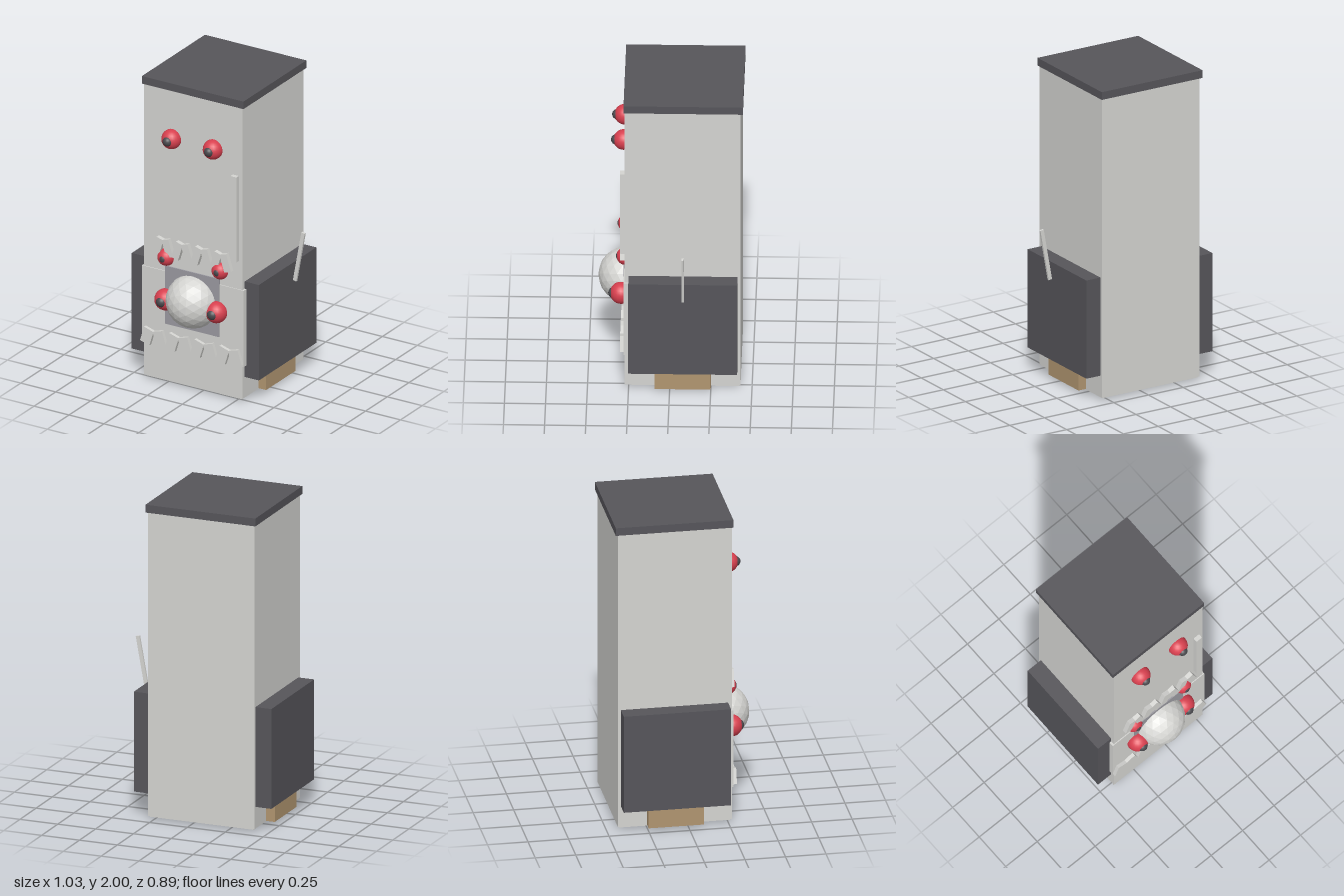
import * as THREE from 'three';

const mat = (name, color, flat = false) => {
  const m = new THREE.MeshStandardMaterial({ color });
  m.name = name;
  m.flatShading = flat;
  return m;
};

export function createModel() {
  const model = new THREE.Group();
  model.name = 'cabinetCreature';

  const white = mat('offWhite', 0xd4d4d1, true);
  const dark = mat('darkGrey', 0x56555a);
  const tan = mat('tan', 0xb09570);
  const red = mat('red', 0xd8404f);
  const glass = mat('windowGrey', 0x9a99a0);
  const black = mat('pupilGrey', 0x49494d);

  // Box given by its minimum and maximum corners
  const box = (name, m, [x0, y0, z0], [x1, y1, z1], parent = model) => {
    const mesh = new THREE.Mesh(new THREE.BoxGeometry(x1 - x0, y1 - y0, z1 - z0), m);
    mesh.position.set((x0 + x1) / 2, (y0 + y1) / 2, (z0 + z1) / 2);
    mesh.name = name;
    parent.add(mesh);
    return mesh;
  };
  const ball = (name, m, r, x, y, z, parent) => {
    const mesh = new THREE.Mesh(new THREE.SphereGeometry(r, 20, 14), m);
    mesh.position.set(x, y, z);
    mesh.name = name;
    parent.add(mesh);
  };

  // Tall body, lid and base
  box('body', white, [-0.412, 0.018, -0.43], [0.291, 1.95, 0.275]);
  box('lid', dark, [-0.425, 1.95, -0.445], [0.301, 2, 0.281]);
  box('basePlate', white, [-0.403, 0.01, -0.42], [0.282, 0.018, 0.265]);
  box('basePlug', tan, [-0.108, 0, -0.113], [-0.014, 0.012, -0.04]);

  // Side boxes with wooden feet below
  for (const [side, inner, outer, foot] of [['left', 0.285, 0.392, 0.345], ['right', -0.406, -0.517, -0.47]]) {
    const span = (v) => [Math.min(inner, v), Math.max(inner, v)];
    const [a, b] = span(outer), [c, d] = span(foot);
    box(side + 'SideBox', dark, [a, 0.155, -0.412], [b, 0.79, 0.25]);
    box(side + 'Foot', tan, [c, 0.02, -0.25], [d, 0.155, 0.09]);
  }

  // Lower door with its window
  box('door', white, [-0.425, 0.235, 0.25], [0.303, 0.742, 0.281]);
  box('window', glass, [-0.255, 0.395, 0.278], [0.13, 0.78, 0.286]);

  // Upper door handle and slanted side lever
  box('handle', white, [0.222, 0.93, 0.27], [0.265, 1.495, 0.303]);
  box('lever', white, [0.463, 0.705, -0.09], [0.487, 1.041, -0.076]).rotation.z = -0.18;

  // Rows of alternately tilted teeth
  const teeth = (name, x0, step, y, w, h, z0, z1) => {
    const row = new THREE.Group();
    row.name = name;
    for (let i = 0; i < 8; i++) {
      const x = x0 + i * step;
      const t = box('tooth', white, [x - w / 2, y - h / 2, z0], [x + w / 2, y + h / 2, z1], row);
      t.rotation.z = i % 2 ? 0.3 : -0.3;
    }
    model.add(row);
  };
  teeth('upperTeeth', -0.299, 0.069, 0.905, 0.05, 0.115, 0.27, 0.303);
  teeth('lowerTeeth', -0.377, 0.09, 0.29, 0.07, 0.1, 0.27, 0.303);

  // Pairs of eyes: red ball with a dark pupil in front
  const eye = (name, x, y, z, r, pr, pz) => {
    const g = new THREE.Group();
    g.name = name;
    ball('eyeball', red, r, x, y, z, g);
    ball('pupil', black, pr, x, y, pz, g);
    model.add(g);
  };
  for (const [name, xr, xl, y, z, r, pr, pz] of [
    ['top', -0.21, 0.086, 1.634, 0.285, 0.063, 0.031, 0.331],
    ['middle', -0.255, 0.132, 0.835, 0.273, 0.055, 0.031, 0.3],
    ['bottom', -0.245, 0.12, 0.565, 0.3, 0.068, 0.035, 0.343],
  ]) {
    eye(name + 'RightEye', xr, y, z, r, pr, pz);
    eye(name + 'LeftEye', xl, y, z, r, pr, pz);
  }

  // Faceted nose
  const nose = new THREE.Mesh(new THREE.IcosahedronGeometry(0.17, 3), white);
  nose.position.set(-0.062, 0.587, 0.272);
  nose.name = 'nose';
  model.add(nose);

  return model;
}
